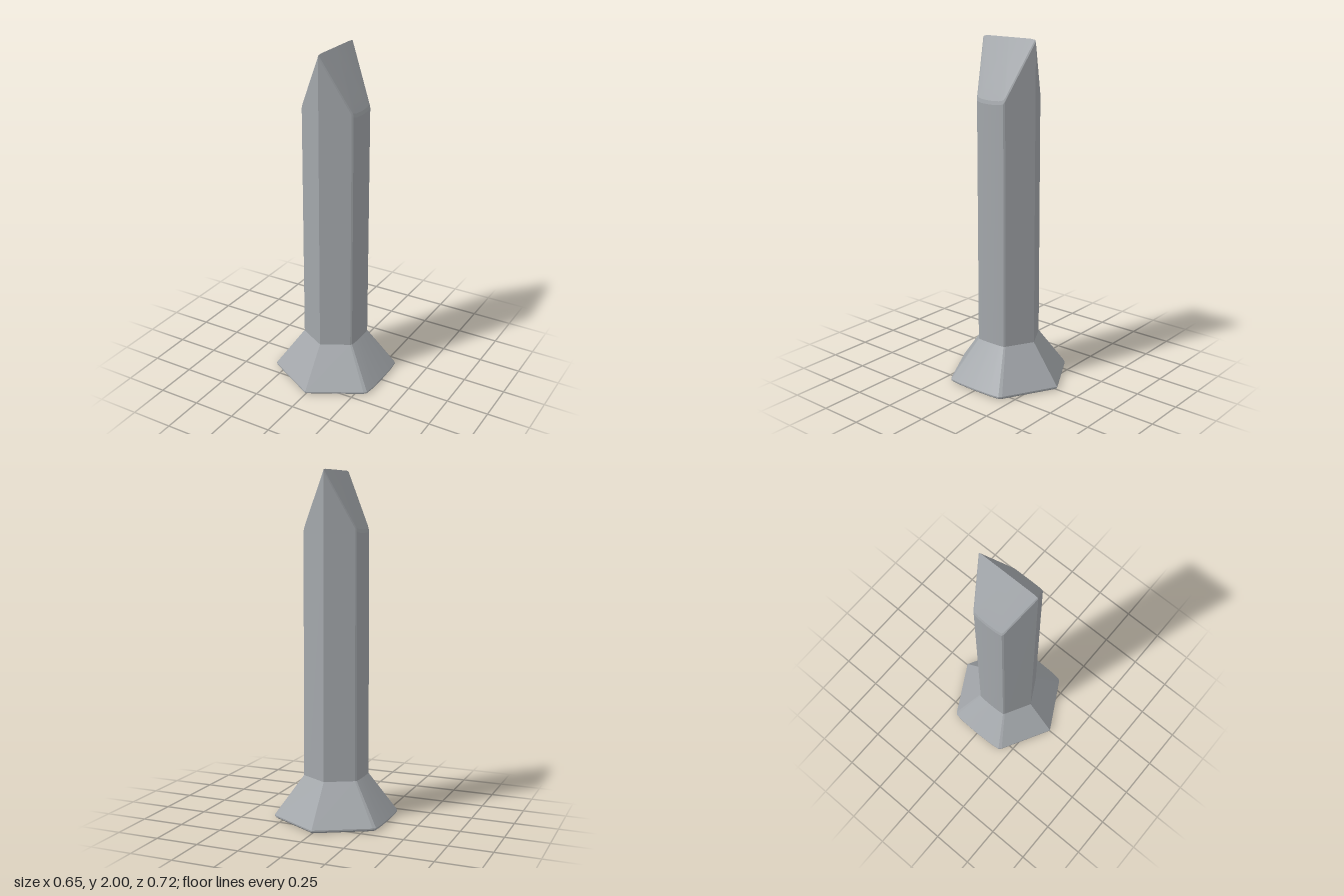
import * as THREE from 'three';
import { toCreasedNormals } from 'three/addons/utils/BufferGeometryUtils.js';

// Quarter of the hexagonal outline, from the front point to the middle of the bowed side
const quarter = [[0, 0.36], [0.3, 0.195], [0.315, 0.18], [0.322, 0.12], [0.325, 0]];
const right = [...quarter, ...quarter.slice(0, -1).reverse().map(([x, z]) => [x, -z])];
const outline = [...right, ...right.slice(1, -1).reverse().map(([x, z]) => [-x, z])];

// One scaled cross-section; slope drops the height away from the centre line
function ring(y, scale, slope = 0) {
  return outline.map(([x, z]) =>
    new THREE.Vector3(x * scale, y - slope * Math.abs(x * scale), z * scale));
}

// Skin a stack of rings, optionally closing the bottom and top with a fan
function loft(rings, bottom, top) {
  const points = [];
  const n = outline.length;
  for (let i = 0; i < n; i++) {
    const j = (i + 1) % n;
    for (let r = 0; r < rings.length - 1; r++) {
      const a = rings[r], b = rings[r + 1];
      points.push(a[i], a[j], b[j], a[i], b[j], b[i]);
    }
    const first = rings[0], last = rings[rings.length - 1];
    if (bottom !== undefined) points.push(first[j], first[i], new THREE.Vector3(0, bottom, 0));
    if (top !== undefined) points.push(last[i], last[j], new THREE.Vector3(0, top, 0));
  }
  return toCreasedNormals(new THREE.BufferGeometry().setFromPoints(points), 0.2);
}

export function createModel() {
  const model = new THREE.Group();
  const steel = new THREE.MeshStandardMaterial({ color: 0xa3a7ab });
  steel.name = 'grey metal';

  const add = (name, geometry) => {
    const mesh = new THREE.Mesh(geometry, steel);
    mesh.name = name;
    model.add(mesh);
  };

  // Flared foot with a small bevel under its rim
  add('flaredFoot', loft([ring(0, 0.965), ring(0.01, 1), ring(0.018, 1), ring(0.25, 0.522)], 0));

  // Straight shaft, cut by the two sloping planes of the wedge
  add('shaft', loft([ring(0.25, 0.522), ring(1.985, 0.515, 2)]));

  // Wedge tip with softened edges and a ridge running front to back
  add('wedgeTip', loft([ring(1.985, 0.515, 2), ring(1.996, 0.5, 2), ring(2, 0.42, 2)], undefined, 2));

  return model;
}
